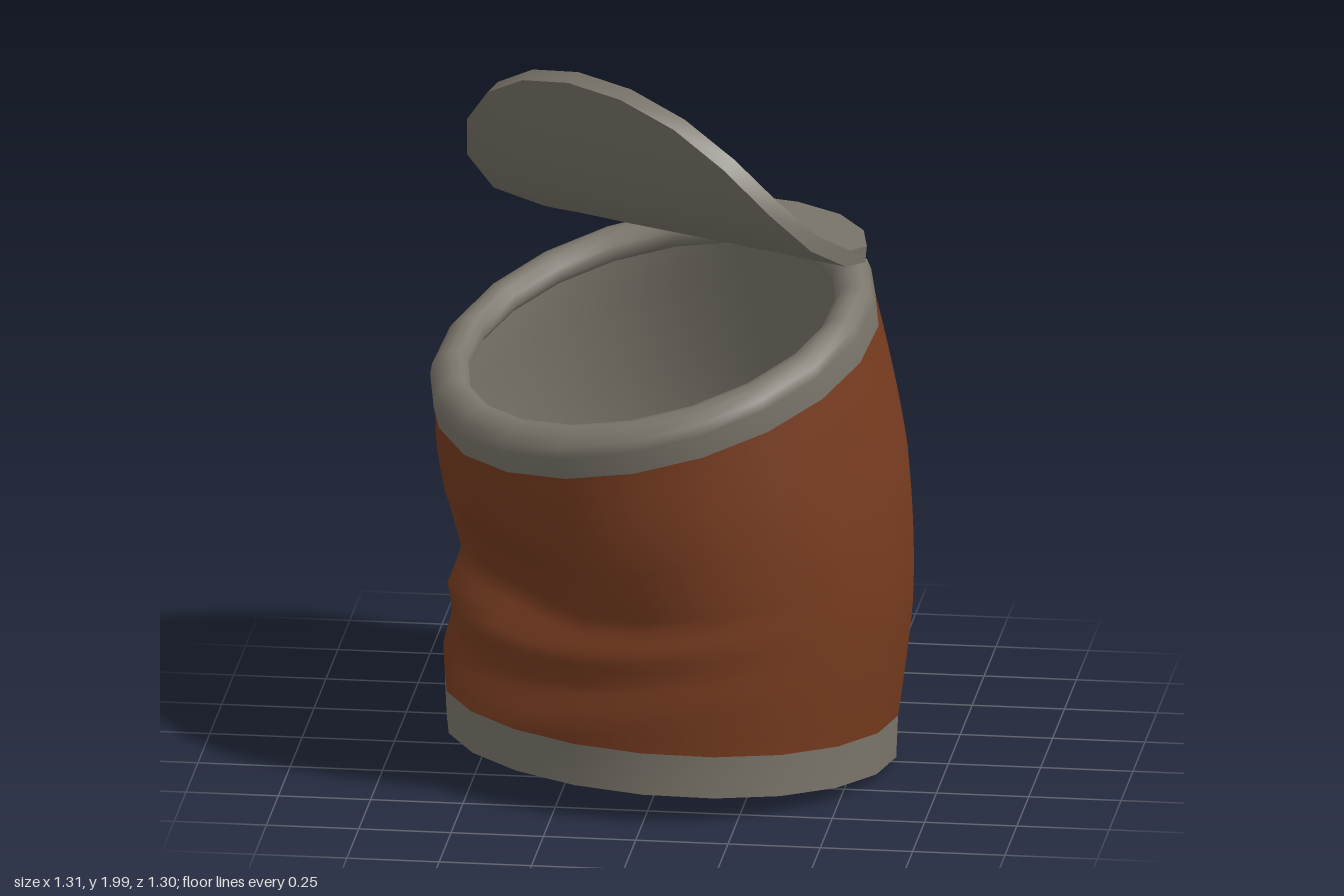
import * as THREE from 'three';

const SIDES = 20;
const V = (x, y, z) => new THREE.Vector3(x, y, z);
const lerp = THREE.MathUtils.lerp;

// Skin a list of rings; each ring is a function of the angle round the can
function loft(rings) {
  const pos = [], idx = [];
  rings.forEach((ring, j) => {
    for (let i = 0; i < SIDES; i++) {
      pos.push(...ring((i / SIDES) * Math.PI * 2).toArray());
      if (j === rings.length - 1) continue;
      const a = j * SIDES + i, c = j * SIDES + (i + 1) % SIDES;
      idx.push(a, a + SIDES, c, c, a + SIDES, c + SIDES);
    }
  });
  const g = new THREE.BufferGeometry();
  g.setAttribute('position', new THREE.Float32BufferAttribute(pos, 3));
  g.setIndex(idx);
  g.computeVertexNormals();
  return g;
}

// Piecewise linear lookup in [key, value] pairs
function lookup(table, k) {
  if (k <= table[0][0]) return table[0][1];
  for (let i = 1; i < table.length; i++) {
    const [k0, v0] = table[i - 1], [k1, v1] = table[i];
    if (k <= k1) return lerp(v0, v1, (k - k0) / (k1 - k0));
  }
  return table[table.length - 1][1];
}

// The can leans and is dented towards this angle (front, towards -x)
const LEAN = THREE.MathUtils.degToRad(136);
const DENT = THREE.MathUtils.degToRad(142);
const WALL_LOW = 0.17, WALL_HIGH = 1.125;
const SHIFT = [[0.05, 0], [0.17, 0], [0.45, -0.012], [0.75, 0], [WALL_HIGH, 0.048], [1.205, 0.067]];
const SLOPE = [[0.05, 0.08], [WALL_LOW, 0.08], [WALL_HIGH, -0.3], [1.205, -0.31]];
// Depth of the crumple by height: lower fold, ridge, sharp crease, long slope
const CRUMPLE = [[0.17, 0], [0.32, 0.06], [0.45, 0.035], [0.58, 0.14], [0.7, 0.1], [0.85, 0.045], [1.0, 0.015], [1.1, 0]];

// A point on the tilted cross-section whose centre is at height h
function section(h, radius, phi) {
  const along = radius * Math.cos(phi - LEAN), across = radius * Math.sin(phi - LEAN);
  const tilt = Math.atan(lookup(SLOPE, h));
  const a = along * Math.cos(tilt) + lookup(SHIFT, h);
  return V(
    a * Math.cos(LEAN) - across * Math.sin(LEAN),
    h + along * Math.sin(tilt),
    a * Math.sin(LEAN) + across * Math.cos(LEAN)
  );
}

// Barrel bulge with a crumpled side that narrows to a wedge at its ends
function wallRadius(h, phi) {
  const k = THREE.MathUtils.clamp((h - WALL_LOW) / (WALL_HIGH - WALL_LOW), 0, 1);
  let d = Math.abs(phi - DENT);
  d = Math.min(d, Math.PI * 2 - d);
  const fall = Math.exp(-((d / 0.75) ** 2));
  const bulge = 0.038 * Math.sin(Math.PI * k) * (1 - fall);
  const wedge = 0.58 + (h - 0.58) / (0.55 + 0.45 * fall);
  return 0.615 + bulge - fall * lookup(CRUMPLE, wedge);
}

const flatRing = (h, r) => phi => section(h, r, phi);
const wallRing = (h, inset = 0) => phi => section(h, wallRadius(h, phi) - inset, phi);

export function createModel() {
  const metal = new THREE.MeshStandardMaterial({ color: 0x7b766b });
  metal.name = 'dull metal';
  const rust = new THREE.MeshStandardMaterial({ color: 0x783c20 });
  rust.name = 'rusty label';

  const model = new THREE.Group();
  model.name = 'crushedCan';
  const add = (name, rings, material, parent = model) => {
    const mesh = new THREE.Mesh(loft(rings), material);
    mesh.name = name;
    parent.add(mesh);
  };

  // Base
  add('bottomDisc', [flatRing(0.052, 0), flatRing(0.052, 0.61)], metal);
  add('bottomBand', [flatRing(0.052, 0.61), flatRing(WALL_LOW, 0.615)], metal);

  // Dented label wall
  const wall = [], inside = [];
  for (let i = 0; i <= 28; i++) wall.push(wallRing(lerp(WALL_LOW, WALL_HIGH, i / 28)));
  add('labelWall', wall, rust);

  // Top band rolling over into the rim lip: [height, radius]
  const lip = [[WALL_HIGH, 0.615], [1.19, 0.618], [1.218, 0.61], [1.24, 0.588], [1.248, 0.56],
    [1.24, 0.532], [1.218, 0.512], [1.19, 0.508], [1.17, 0.525], [1.155, 0.555]];
  add('topRim', lip.map(([h, r]) => flatRing(h, r)), metal);

  // Inner wall running into the floor
  for (let i = 0; i <= 16; i++) inside.push(wallRing(lerp(1.155, 0.12, i / 16), 0.05));
  inside.push(flatRing(0.12, 0));
  add('innerWall', inside, metal);

  // Peeled lid: a disc rolled up along a curve of (distance, height)
  const curve = new THREE.CatmullRomCurve3([
    [-0.52, 1.435], [-0.3, 1.435], [-0.11, 1.485], [0.04, 1.58], [0.15, 1.71], [0.305, 1.995]
  ].map(([w, y]) => V(w, y, 0)));
  const lidRing = (rho, depth) => phi => {
    const t = 0.5 + 0.5 * rho * Math.sin(phi);
    const p = curve.getPointAt(t), n = curve.getTangentAt(t);
    const w = p.x + n.y * depth, y = p.y - n.x * depth;
    const v = 0.61 * rho * Math.cos(phi) - 0.045;
    return V(-0.62 * w + 0.785 * v, y + 0.09 * v, 0.785 * w + 0.62 * v);
  };
  const lid = new THREE.Group();
  lid.name = 'lid';
  model.add(lid);
  const steps = [1, 0.85, 0.68, 0.5, 0.33, 0.16, 0];
  add('lidTop', steps.map(r => lidRing(r, 0)), metal, lid);
  add('lidUnderside', [...steps].reverse().map(r => lidRing(r, 0.045)), metal, lid);
  add('lidEdge', [lidRing(1, 0.045), lidRing(1, 0)], metal, lid);

  return model;
}
